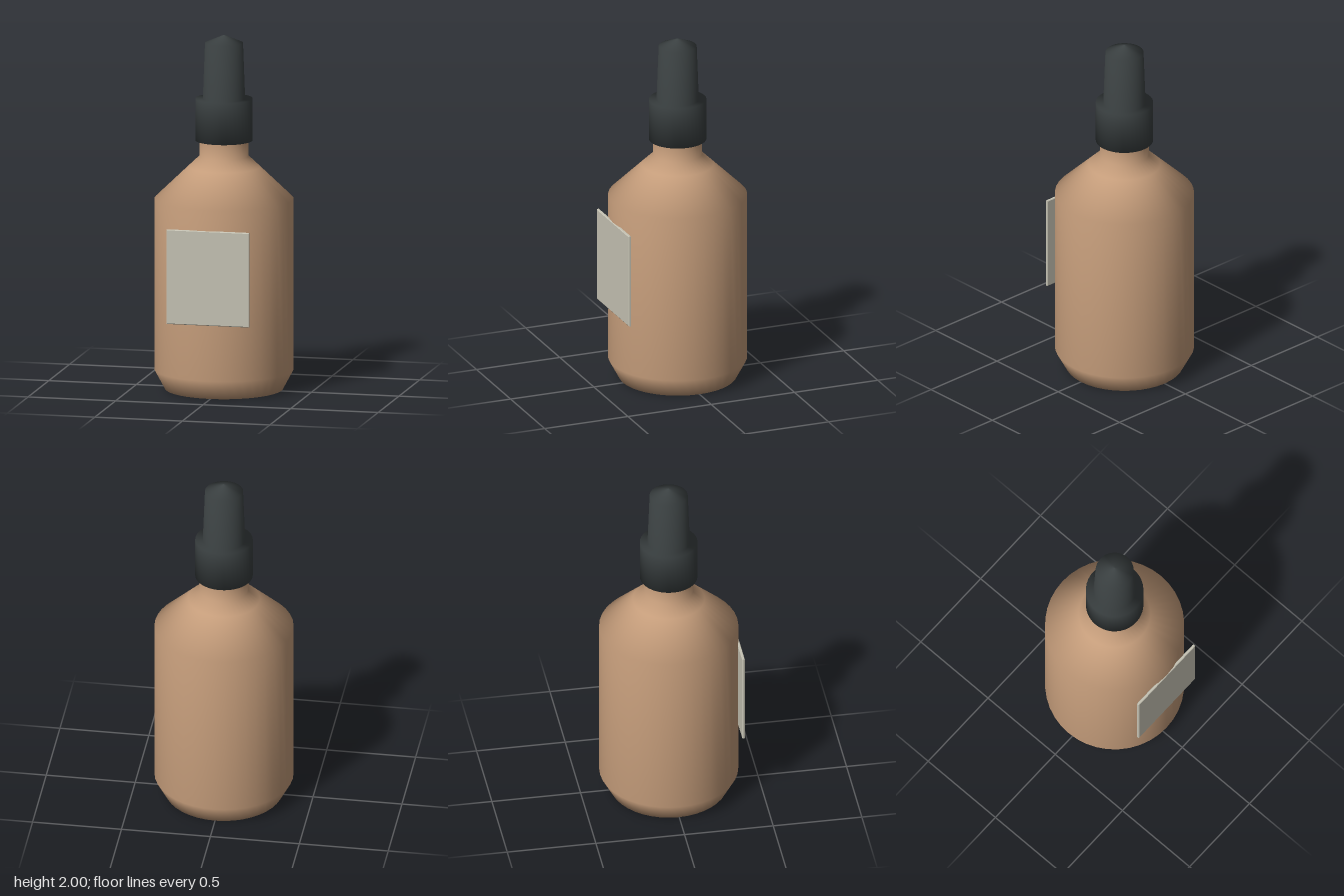
import * as THREE from 'three';

const SEGMENTS = 40;

// Smooth turned part from [radius, height] pairs, listed bottom to top
function turned(name, color, profile) {
  const points = profile.map(([r, y]) => new THREE.Vector2(r, y));
  const mesh = new THREE.Mesh(
    new THREE.LatheGeometry(points, SEGMENTS),
    new THREE.MeshStandardMaterial({ color })
  );
  mesh.name = name;
  mesh.position.z = -0.003;
  return mesh;
}

export function createModel() {
  const model = new THREE.Group();
  model.name = 'dropperBottle';

  // Bottle: chamfered foot, straight wall, sloping shoulder and neck
  model.add(turned('bottleBody', 0xc49c7a, [
    [0, 0], [0.328, 0], [0.387, 0.11], [0.387, 1.075],
    [0.2, 1.255], [0.137, 1.315], [0.137, 1.41],
  ]));

  // Cap: wide collar, tapered bulb and shallow pointed top
  model.add(turned('cap', 0x3b4142, [
    [0, 1.405], [0.16, 1.405], [0.16, 1.64], [0.118, 1.64],
    [0.106, 1.955], [0, 2],
  ]));

  // Flat front label with a fine bevelled rim
  const w = 0.232, h = 0.263;
  const outline = new THREE.Shape([
    new THREE.Vector2(-w, -h), new THREE.Vector2(w, -h),
    new THREE.Vector2(w, h), new THREE.Vector2(-w, h),
  ]);
  const label = new THREE.Mesh(
    new THREE.ExtrudeGeometry(outline, {
      depth: 0.01, bevelThickness: 0.003, bevelSize: 0.004, bevelSegments: 1,
    }),
    new THREE.MeshStandardMaterial({ color: 0xc6c3b4 })
  );
  label.name = 'label';
  label.position.set(0, 0.692, 0.374);
  model.add(label);

  return model;
}
